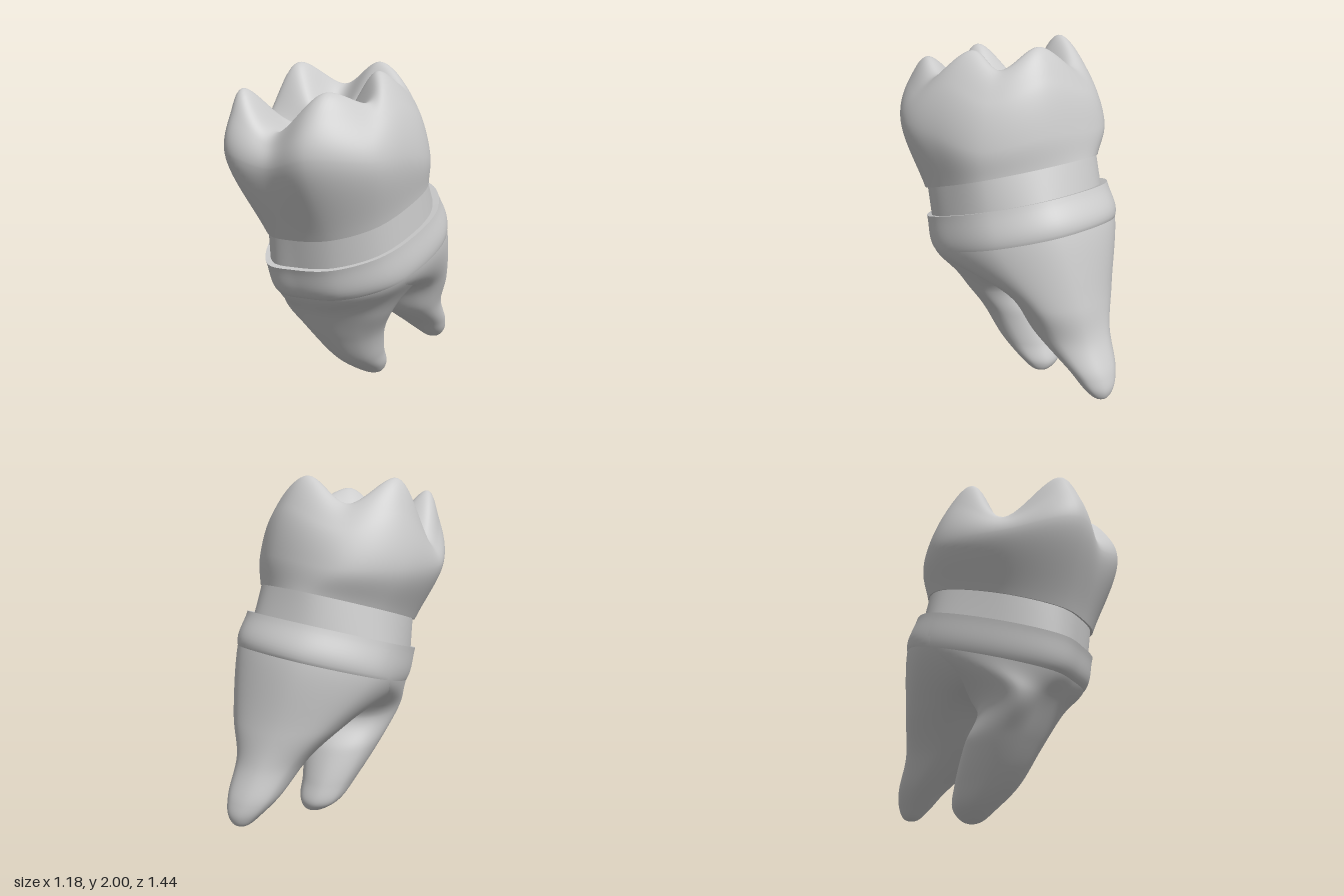
import * as THREE from 'three';

const SEG = 120;
const V = (x, y, z) => new THREE.Vector3(x, y, z);

// Closed smooth ring through control points
const ring = (pts) => new THREE.CatmullRomCurve3(pts, true, 'centripetal');

// Skin a surface over rings listed bottom to top (outside faces outward)
function loft(rings, rows, smooth = true) {
  const pos = [], idx = [];
  for (let i = 0; i < SEG; i++) {
    const pts = rings.map((r) => r.getPoint(i / SEG));
    const path = smooth ? new THREE.CatmullRomCurve3(pts, false, 'centripetal') : null;
    for (let j = 0; j <= rows; j++) {
      let p;
      if (smooth) p = path.getPoint(j / rows);
      else {
        const f = (j / rows) * (pts.length - 1), k = Math.min(Math.floor(f), pts.length - 2);
        p = pts[k].clone().lerp(pts[k + 1], f - k);
      }
      pos.push(p.x, p.y, p.z);
      if (j < rows) {
        const a = i * (rows + 1) + j, b = ((i + 1) % SEG) * (rows + 1) + j;
        idx.push(a, b, b + 1, a, b + 1, a + 1);
      }
    }
  }
  const g = new THREE.BufferGeometry();
  g.setAttribute('position', new THREE.Float32BufferAttribute(pos, 3));
  g.setIndex(idx);
  g.computeVertexNormals();
  return g;
}

// Outline on the tilted plane shared by crown edge, root rim and trunk,
// scaled about its middle and shifted by dx, dz
const onPlane = (xz, c, s = 1, dx = 0, dz = 0) => xz.map(([x, z]) => {
  const px = 0.03 + (x - 0.03) * s + dx, pz = z * s + dz;
  return V(px, c + 0.18 * px - 0.28 * pz, pz);
});

// Directions of the five cusps and the five grooves between them, in degrees
const ANGLES = [138, 113, 90, 58, 32, 0, -40, -85, -130, -187];

// Horizontal ellipse, given by height, centre and half extents
const section = ([y, cx, cz, hx, hz]) => ring(ANGLES.map((d) => {
  const a = THREE.MathUtils.degToRad(d);
  return V(cx + hx * Math.cos(a), y, cz + hz * Math.sin(a));
}));

// Control outlines, alternating cusp and groove
const CREST = [[-0.47, 1.89, 0.42], [-0.27, 1.67, 0.5], [0.02, 1.89, 0.53], [0.21, 1.83, 0.37],
  [0.21, 1.975, 0.18], [0.28, 1.89, 0.0], [0.14, 2.0, -0.17], [-0.1, 1.86, -0.28],
  [-0.35, 1.99, -0.14], [-0.48, 1.64, 0.08]];
const BELLY = [[-0.535, 1.55, 0.53], [-0.27, 1.5, 0.62], [-0.03, 1.57, 0.72], [0.29, 1.55, 0.57],
  [0.42, 1.55, 0.34], [0.485, 1.5, 0.03], [0.32, 1.57, -0.29], [-0.07, 1.54, -0.49],
  [-0.42, 1.52, -0.33], [-0.59, 1.48, 0.12]];
const EDGE = [[-0.36, 0.4], [-0.18, 0.5], [0.05, 0.54], [0.27, 0.46], [0.41, 0.27],
  [0.48, 0.03], [0.345, -0.28], [0.05, -0.48], [-0.3, -0.33], [-0.44, 0.07]];
const RIM = [[-0.37, 0.4], [-0.18, 0.49], [0.05, 0.53], [0.29, 0.45], [0.44, 0.27],
  [0.53, -0.02], [0.43, -0.34], [0.06, -0.54], [-0.33, -0.39], [-0.45, 0.05]];

// Root sections from tip upward: y, centre x, centre z, half x, half z
const FRONT_ROOT = [[0, 0.115, -0.2, 0.004, 0.004], [0.02, 0.115, -0.2, 0.06, 0.06],
  [0.08, 0.08, -0.18, 0.125, 0.125], [0.2, 0.035, -0.1, 0.17, 0.185],
  [0.4, -0.015, 0.0, 0.245, 0.22], [0.6, -0.025, 0.1, 0.34, 0.24]];
const BACK_ROOT = [[0.1, 0.43, -0.65, 0.004, 0.004], [0.115, 0.43, -0.65, 0.05, 0.045],
  [0.17, 0.415, -0.63, 0.1, 0.09], [0.26, 0.375, -0.58, 0.15, 0.135],
  [0.45, 0.295, -0.43, 0.215, 0.225], [0.66, 0.2, -0.33, 0.355, 0.3]];

export function createModel() {
  const model = new THREE.Group();
  model.name = 'molarTooth';
  const grey = new THREE.MeshStandardMaterial({ color: 0xcccccc });
  grey.name = 'plain grey';
  const add = (name, geometry) => {
    const mesh = new THREE.Mesh(geometry, grey);
    mesh.name = name;
    model.add(mesh);
  };

  // Crown: swollen sides, five cusps and a central pit
  const crest = CREST.map((p) => V(...p));
  const belly = BELLY.map((p) => V(...p));
  const pit = V(-0.12, 1.6, 0.13);
  const shoulder = belly.map((p, i) => {
    const q = p.clone().lerp(crest[i], 0.36);
    q.y = THREE.MathUtils.lerp(p.y, crest[i].y, 0.62);
    return q;
  });
  const slope = crest.map((p) => {
    const q = p.clone().lerp(pit, 0.5);
    q.y = pit.y + (p.y - pit.y) * 0.42;
    return q;
  });
  const centre = crest.map((p) => pit.clone().lerp(p, 0.01));
  add('crown', loft([onPlane(EDGE, 1.26), belly, shoulder, crest, slope, centre].map(ring), 70));

  // Underside of the crown edge
  add('crownLip', loft([onPlane(EDGE, 1.265, 0.9), onPlane(EDGE, 1.26)].map(ring), 2, false));

  // Recessed neck band
  add('neck', loft([onPlane(RIM, 1.05, 0.94), onPlane(EDGE, 1.28, 0.975)].map(ring), 6, false));

  // Ledge on top of the root
  add('rootLedge', loft([onPlane(RIM, 1.085), onPlane(RIM, 1.08, 0.9)].map(ring), 2, false));

  // Two roots that share the trunk outline below the rim
  const trunk = (c, s) => ring(onPlane(RIM, c, s, 0.045, -0.065));
  const rim = ring(onPlane(RIM, 1.085));
  const roots = { frontRoot: FRONT_ROOT, backRoot: BACK_ROOT };
  for (const [name, table] of Object.entries(roots)) {
    add(name, loft([...table.map(section), trunk(0.87, 1), rim], 70));
  }

  // Rounded web closing the fork between the roots
  add('rootFork', loft([trunk(0.68, 0.01), trunk(0.69, 0.4), trunk(0.745, 0.75), trunk(0.87, 0.995)], 30));
  return model;
}
